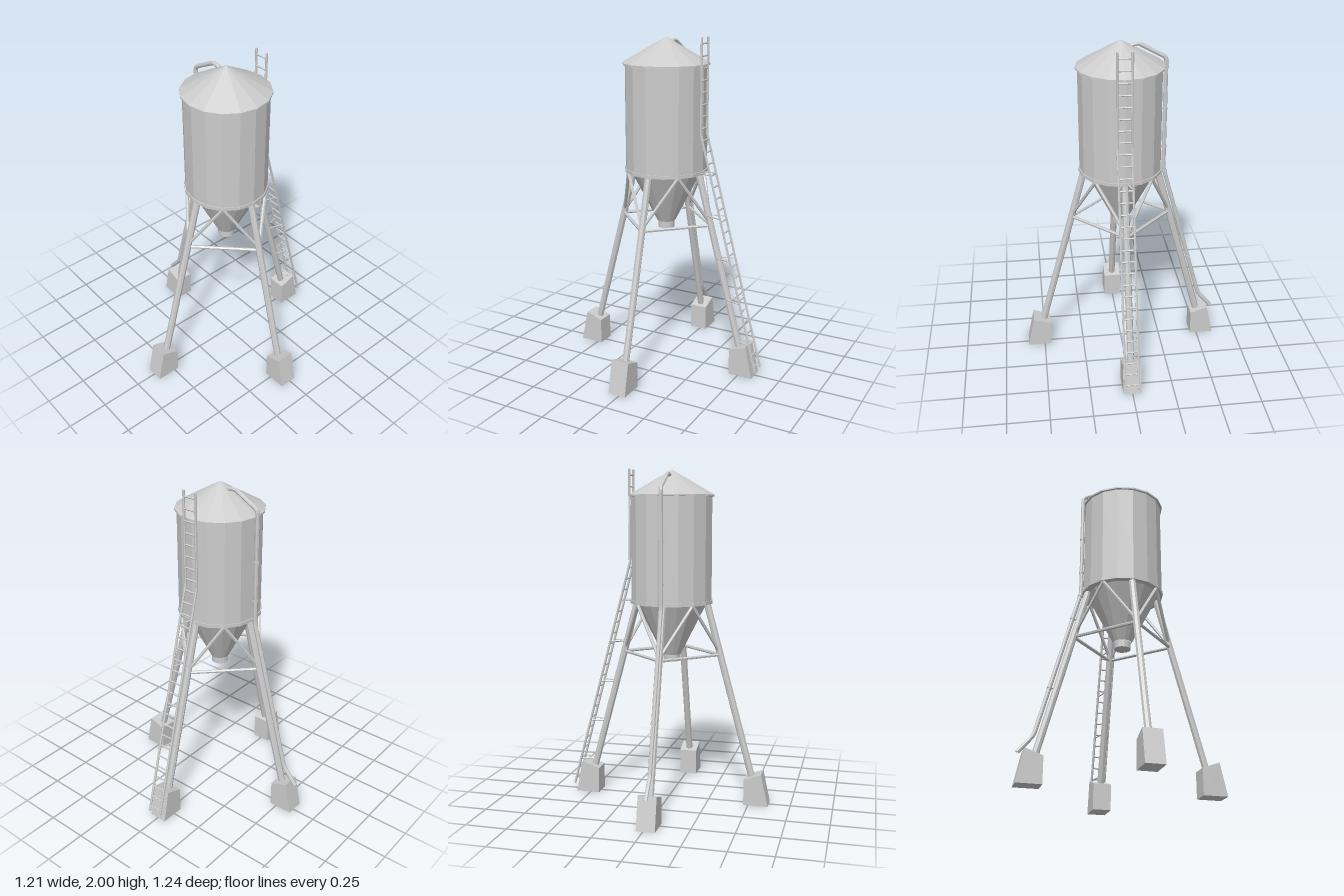
import * as THREE from 'three';

const V = (x, y, z) => new THREE.Vector3(x, y, z);
const mat = new THREE.MeshStandardMaterial({ color: 0xcccccc, flatShading: true, side: THREE.DoubleSide });

function add(parent, name, geometry) {
  const mesh = new THREE.Mesh(geometry, mat);
  mesh.name = name;
  parent.add(mesh);
  return mesh;
}

// Straight round bar between two points
function bar(parent, name, a, b, r, sides = 8) {
  const mesh = add(parent, name, new THREE.CylinderGeometry(r, r, a.distanceTo(b), sides));
  mesh.position.copy(a).add(b).multiplyScalar(0.5);
  mesh.quaternion.setFromUnitVectors(V(0, 1, 0), b.clone().sub(a).normalize());
  return mesh;
}

function lathe(parent, name, profile) {
  return add(parent, name, new THREE.LatheGeometry(profile.map(p => new THREE.Vector2(...p)), 16));
}

// Distance of the leg axis from the centre at height y
const legOut = y => 0.22 + (1.2 - y) * 0.269;

function createLeg() {
  const leg = new THREE.Group();
  bar(leg, 'legTube', V(legOut(1.21), 1.21, 0), V(legOut(0.15), 0.15, 0), 0.021);

  // Concrete foot with its top square to the leg
  const s = new THREE.Shape();
  s.moveTo(0.458, 0);
  s.lineTo(0.605, 0);
  s.lineTo(0.563, 0.195);
  s.lineTo(0.458, 0.158);
  s.closePath();
  const g = new THREE.ExtrudeGeometry(s, { depth: 0.11, bevelEnabled: false });
  g.translate(0, 0, -0.055);
  add(leg, 'foot', g);

  // Horizontal tie to the next leg, and two braces up to the tank rim
  const o = legOut(0.905);
  bar(leg, 'tie', V(o, 0.905, 0), V(0, 0.905, o), 0.01, 6);
  for (const side of [-1, 1]) {
    bar(leg, 'brace', V(legOut(0.92), 0.92, 0), V(0.165, 1.21, 0.165 * side), 0.01, 6);
  }
  return leg;
}

function createTank() {
  const tank = new THREE.Group();
  tank.name = 'tank';
  lathe(tank, 'body', [[0.243, 1.215], [0.243, 1.845]]);
  lathe(tank, 'roof', [[0.243, 1.838], [0.256, 1.838], [0.256, 1.848], [0, 1.995]]);
  lathe(tank, 'bottomRim', [[0.2, 1.21], [0.249, 1.21], [0.249, 1.23], [0.24, 1.23]]);
  lathe(tank, 'hopper', [[0.215, 1.215], [0.055, 0.9]]);
  lathe(tank, 'outlet', [[0, 0.858], [0.05, 0.858], [0.05, 0.9], [0.04, 0.91]]);
  return tank;
}

function createLadder() {
  const ladder = new THREE.Group();
  ladder.name = 'ladder';
  const top = V(0, 2, -0.25), bend = V(0, 1.45, -0.25), foot = V(0, 0.045, -0.625);
  const half = 0.041;
  const at = (p, x) => V(x, p.y, p.z);
  for (const x of [-half, half]) {
    bar(ladder, 'rail', at(top, x), at(bend, x), 0.0075, 6);
    bar(ladder, 'rail', at(bend, x), at(foot, x), 0.0075, 6);
    // Standoffs back to the leg
    for (let i = 0; i < 5; i++) {
      const y = 0.207 + i * 0.253;
      const z = -0.25 - (1.45 - y) * 0.267;
      bar(ladder, 'standoff', V(x, y, z), V(x * 0.3, y, -legOut(y)), 0.004, 5);
    }
  }
  const rungs = (a, b, n) => {
    for (let i = 0; i < n; i++) {
      const p = a.clone().lerp(b, (i + 0.5) / n);
      bar(ladder, 'rung', at(p, -half), at(p, half), 0.005, 6);
    }
  };
  rungs(top, bend, 8);
  rungs(bend, foot, 21);
  ladder.position.x = 0.005;
  return ladder;
}

function createFillPipe() {
  const pipe = new THREE.Group();
  pipe.name = 'fillPipe';
  const pts = [
    [-0.595, 0.18], [-0.508, 0.285], [-0.26, 1.2], [-0.26, 1.885], [-0.1, 1.972], [-0.055, 1.958],
  ].map(([x, y]) => V(x, y, 0));

  // Straight runs joined by short rounded elbows
  const path = new THREE.CurvePath();
  let from = pts[0];
  for (let i = 1; i < pts.length - 1; i++) {
    const p = pts[i];
    const a = p.clone().add(pts[i - 1].clone().sub(p).setLength(0.022));
    const b = p.clone().add(pts[i + 1].clone().sub(p).setLength(0.022));
    path.add(new THREE.LineCurve3(from, a));
    path.add(new THREE.QuadraticBezierCurve3(a, p, b));
    from = b;
  }
  path.add(new THREE.LineCurve3(from, pts[pts.length - 1]));
  add(pipe, 'pipe', new THREE.TubeGeometry(path, 160, 0.0125, 8, false));

  // Clamps with a short stub to the leg or tank
  for (const y of [0.57, 1.02, 1.18, 1.34, 1.58]) {
    const low = y < 1.2;
    const x = low ? -0.26 - (1.2 - y) * 0.271 : -0.26;
    const clamp = add(pipe, 'clamp', new THREE.CylinderGeometry(0.0155, 0.0155, 0.012, 8));
    clamp.position.set(x, y, 0);
    if (low) clamp.rotation.z = -0.265;
    bar(pipe, 'clampStub', V(x, y, 0), V(low ? -legOut(y) : -0.238, y, 0), 0.005, 5);
  }
  return pipe;
}

export function createModel() {
  const model = new THREE.Group();
  model.name = 'silo';
  const silo = new THREE.Group();
  silo.name = 'assembly';
  silo.position.z = 0.015;
  model.add(silo);

  silo.add(createTank(), createLadder(), createFillPipe());
  for (let i = 0; i < 4; i++) {
    const leg = createLeg();
    leg.name = 'leg';
    leg.rotation.y = i * Math.PI / 2;
    silo.add(leg);
  }
  return model;
}
